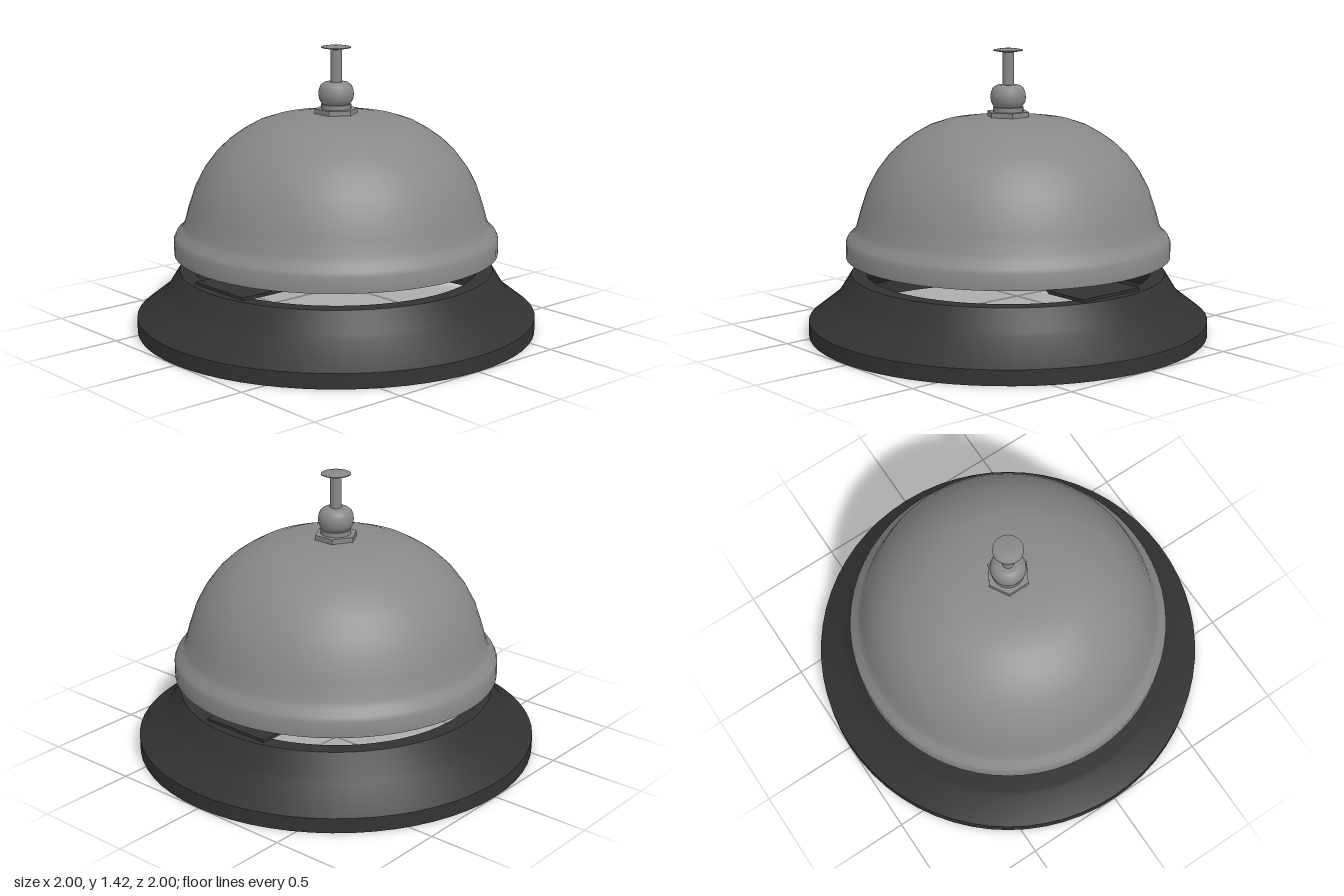
import * as THREE from 'three';
import { toCreasedNormals } from 'three/addons/utils/BufferGeometryUtils.js';

export function createModel() {
  const model = new THREE.Group();
  model.name = 'deskBell';

  const steel = new THREE.MeshStandardMaterial({ color: 0x888888, side: THREE.DoubleSide });
  steel.name = 'grey steel';
  const black = new THREE.MeshStandardMaterial({ color: 0x333333, side: THREE.DoubleSide });
  black.name = 'black enamel';

  const add = (name, geometry, material) => {
    const mesh = new THREE.Mesh(geometry, material);
    mesh.name = name;
    model.add(mesh);
    return mesh;
  };
  // Turned part: profile of [radius, height] from bottom to top
  const turned = (name, profile, material, segments = 64, crease = 0.5) => {
    const points = profile.map(([r, y]) => new THREE.Vector2(r, y));
    return add(name, toCreasedNormals(new THREE.LatheGeometry(points, segments), crease), material);
  };

  // Hollow flared base with an inward flange at the top
  turned('base', [[1, 0], [1, 0.075], [0.865, 0.18], [0.845, 0.207], [0.785, 0.305], [0.71, 0.305]], black);

  // Hollow dome with a flared lip
  turned('bellDome', [
    [0.81, 0.39], [0.81, 0.465], [0.8, 0.488], [0.77, 0.515], [0.755, 0.545], [0.735, 0.62],
    [0.7, 0.725], [0.655, 0.81], [0.595, 0.89], [0.535, 0.947], [0.47, 0.993], [0.4, 1.033],
    [0.32, 1.06], [0.22, 1.075], [0.1, 1.085], [0, 1.085],
  ], steel, 64, 0.7);

  // Spring bracket on each side: flat foot on the flange and a sloping arm under the dome
  for (const side of [-1, 1]) {
    const shape = new THREE.Shape();
    [[0.74, 0.302], [0.74, 0.318], [0.51, 0.318], [0.23, 0.53], [0.224, 0.521], [0.505, 0.302]]
      .forEach(([x, y], i) => (i ? shape.lineTo(x, y) : shape.moveTo(x, y)));
    const geometry = new THREE.ExtrudeGeometry(shape, { depth: 0.37, bevelEnabled: false });
    geometry.translate(0, 0, -0.185);
    const bracket = add(side > 0 ? 'leftBracket' : 'rightBracket', geometry, black);
    if (side < 0) bracket.rotation.y = Math.PI;
  }

  // Hexagonal nut and its washer
  const nut = add('hexNut', toCreasedNormals(new THREE.CylinderGeometry(0.108, 0.108, 0.025, 6), 0.3), steel);
  nut.position.y = 1.097;
  const washer = add('washer', toCreasedNormals(new THREE.CylinderGeometry(0.075, 0.075, 0.025, 32), 0.5), steel);
  washer.position.y = 1.12;

  // Rounded collar around the plunger
  turned('collar', [
    [0.06, 1.125], [0.075, 1.14], [0.085, 1.16], [0.088, 1.183], [0.085, 1.205],
    [0.077, 1.225], [0.06, 1.238], [0.045, 1.242], [0, 1.242],
  ], steel, 32, 0.8);

  // Plunger rod and button
  const rod = add('plungerRod', toCreasedNormals(new THREE.CylinderGeometry(0.028, 0.028, 0.18, 24), 0.5), steel);
  rod.position.y = 1.32;
  turned('button', [[0, 1.402], [0.04, 1.404], [0.073, 1.41], [0.073, 1.414], [0.04, 1.42], [0, 1.422]], steel, 32);

  return model;
}
